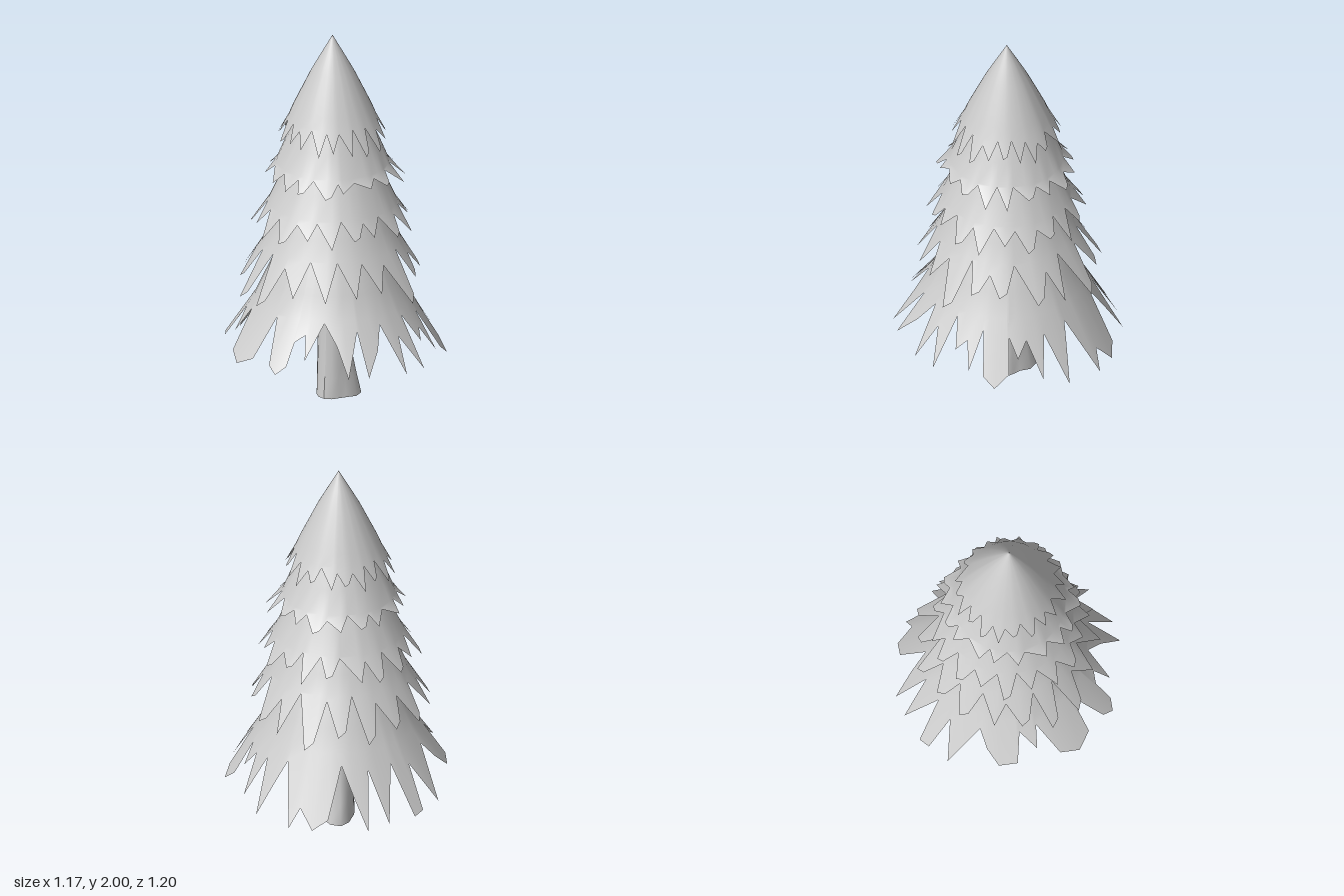
import * as THREE from 'three';

// Small seeded generator for irregular needle tips
function makeRandom(seed) {
  let s = seed;
  return () => {
    s = (s * 16807) % 2147483647;
    return s / 2147483647;
  };
}

// Ragged outline of the bottom branches as [x, z] seen from above
const BOTTOM_OUTLINE = [
  [0.58, 0.12], [0.45, 0.16], [0.54, 0.25], [0.37, 0.22], [0.40, 0.31], [0.405, 0.43], [0.29, 0.33],
  [0.32, 0.50], [0.22, 0.43], [0.13, 0.39], [0.08, 0.53], [0.05, 0.45], [0.0, 0.48], [-0.01, 0.565],
  [-0.06, 0.595], [-0.11, 0.56], [-0.14, 0.39], [-0.22, 0.52], [-0.32, 0.505], [-0.38, 0.42],
  [-0.34, 0.27], [-0.42, 0.305], [-0.40, 0.20], [-0.51, 0.23], [-0.55, 0.14], [-0.51, 0.06],
  [-0.45, 0.0], [-0.59, -0.13], [-0.44, -0.17], [-0.545, -0.25], [-0.52, -0.31], [-0.37, -0.26],
  [-0.42, -0.43], [-0.28, -0.36], [-0.33, -0.51], [-0.23, -0.46], [-0.15, -0.41], [-0.125, -0.56],
  [-0.05, -0.60], [0.03, -0.55], [0.08, -0.60], [0.14, -0.42], [0.19, -0.46], [0.28, -0.53],
  [0.27, -0.37], [0.38, -0.43], [0.35, -0.31], [0.42, -0.30], [0.39, -0.22], [0.48, -0.28],
  [0.55, -0.23], [0.545, -0.16], [0.43, -0.10], [0.555, -0.08], [0.48, -0.03], [0.515, 0.02], [0.42, 0.06],
];

// Each tier: smooth cone rings [radius, y], then a ragged hem reaching to tip [radius, y]
const TIERS = [
  { name: 'bottomBranches', rings: [[0.16, 1.05], [0.27, 0.84], [0.35, 0.67], [0.405, 0.55]], tip: [0.59, 0.26], outline: BOTTOM_OUTLINE },
  { name: 'lowerBranches', rings: [[0.16, 1.28], [0.25, 1.10], [0.315, 0.96], [0.36, 0.86]], tip: [0.505, 0.63], count: 18 },
  { name: 'middleBranches', rings: [[0.14, 1.48], [0.22, 1.32], [0.28, 1.20], [0.335, 1.08]], tip: [0.425, 0.95], count: 19 },
  { name: 'upperBranches', rings: [[0.10, 1.72], [0.175, 1.56], [0.245, 1.42], [0.295, 1.30]], tip: [0.375, 1.215], count: 18 },
  { name: 'treeTop', rings: [[0, 2], [0.057, 1.90], [0.113, 1.80], [0.205, 1.61], [0.23, 1.55]], tip: [0.30, 1.42], count: 20 },
];

// Hem points {a, r, y} around the tier: t is 0 at a notch and 1 at a full tip
function makeHem(tier, random) {
  const [rIn, yIn] = tier.rings[tier.rings.length - 1];
  const [rTip, yTip] = tier.tip;
  const at = (a, t, lift = 0) => ({
    a, r: rIn + (rTip - rIn) * t, y: yIn + (yTip - yIn) * t + lift * t,
  });
  if (tier.outline) {
    // the branches hang a little lower at the back
    return tier.outline.map(([x, z]) =>
      at(Math.atan2(z, x), (Math.hypot(x, z) - rIn) / (rTip - rIn), z * 0.08));
  }
  const hem = [];
  const step = Math.PI * 2 / tier.count;
  for (let i = 0; i < tier.count; i++) {
    const a = (i + random() * 0.25) * step;
    const t = 0.65 + random() * 0.45;
    hem.push(at(a, random() * 0.3));
    // some teeth are blunt with two corners, the rest come to a point
    if (random() < 0.45) {
      hem.push(at(a + step * 0.3, t * 0.85), at(a + step * 0.55, t));
    } else {
      hem.push(at(a + step * (0.3 + random() * 0.3), t));
    }
  }
  return hem;
}

function makeTier(tier, material, seed) {
  const hem = makeHem(tier, makeRandom(seed));
  const n = hem.length;
  const positions = [];
  const indices = [];
  const put = (a, r, y) => positions.push(r * Math.cos(a), y, r * Math.sin(a));
  for (const [r, y] of tier.rings) hem.forEach((h) => put(h.a, r, y));
  hem.forEach((h) => put(h.a, h.r, h.y));
  for (let j = 0; j < tier.rings.length; j++) {
    for (let i = 0; i < n; i++) {
      const k = (i + 1) % n;
      const a = j * n + i, b = j * n + k, c = a + n, d = b + n;
      indices.push(a, d, c);
      if (tier.rings[j][0] > 0) indices.push(a, b, d);
    }
  }
  const geometry = new THREE.BufferGeometry();
  geometry.setAttribute('position', new THREE.Float32BufferAttribute(positions, 3));
  geometry.setIndex(indices);
  geometry.computeVertexNormals();
  const mesh = new THREE.Mesh(geometry, material);
  mesh.name = tier.name;
  return mesh;
}

// Round trunk whose foot spreads into two roots and a small front bulge
function makeTrunk(material) {
  const height = 1.1;
  const geometry = new THREE.CylinderGeometry(0.065, 0.082, height, 16, 10);
  geometry.translate(0, height / 2, 0);
  const p = geometry.attributes.position;
  const lobe = (angle, power) => Math.max(0, Math.cos(angle)) ** power;
  for (let i = 0; i < p.count; i++) {
    const x = p.getX(i), y = p.getY(i), z = p.getZ(i);
    const a = Math.atan2(z, x);
    const flare = Math.max(0, 1 - y / 0.42) ** 1.3;
    const spread = 0.85 * lobe(a + 0.3, 5) + 0.9 * lobe(a + 1.85, 5) + 0.34 * lobe(a - 1.45, 3);
    p.setXYZ(i, x * (1 + flare * spread), y, z * (1 + flare * spread));
  }
  geometry.computeVertexNormals();
  const mesh = new THREE.Mesh(geometry, material);
  mesh.name = 'trunk';
  return mesh;
}

export function createModel() {
  const model = new THREE.Group();
  model.name = 'pineTree';
  const bark = new THREE.MeshStandardMaterial({ color: 0xcccccc });
  const needles = new THREE.MeshStandardMaterial({ color: 0xcccccc, side: THREE.DoubleSide });
  model.add(makeTrunk(bark));
  TIERS.forEach((tier, i) => model.add(makeTier(tier, needles, 1234 + i * 7919)));
  return model;
}
